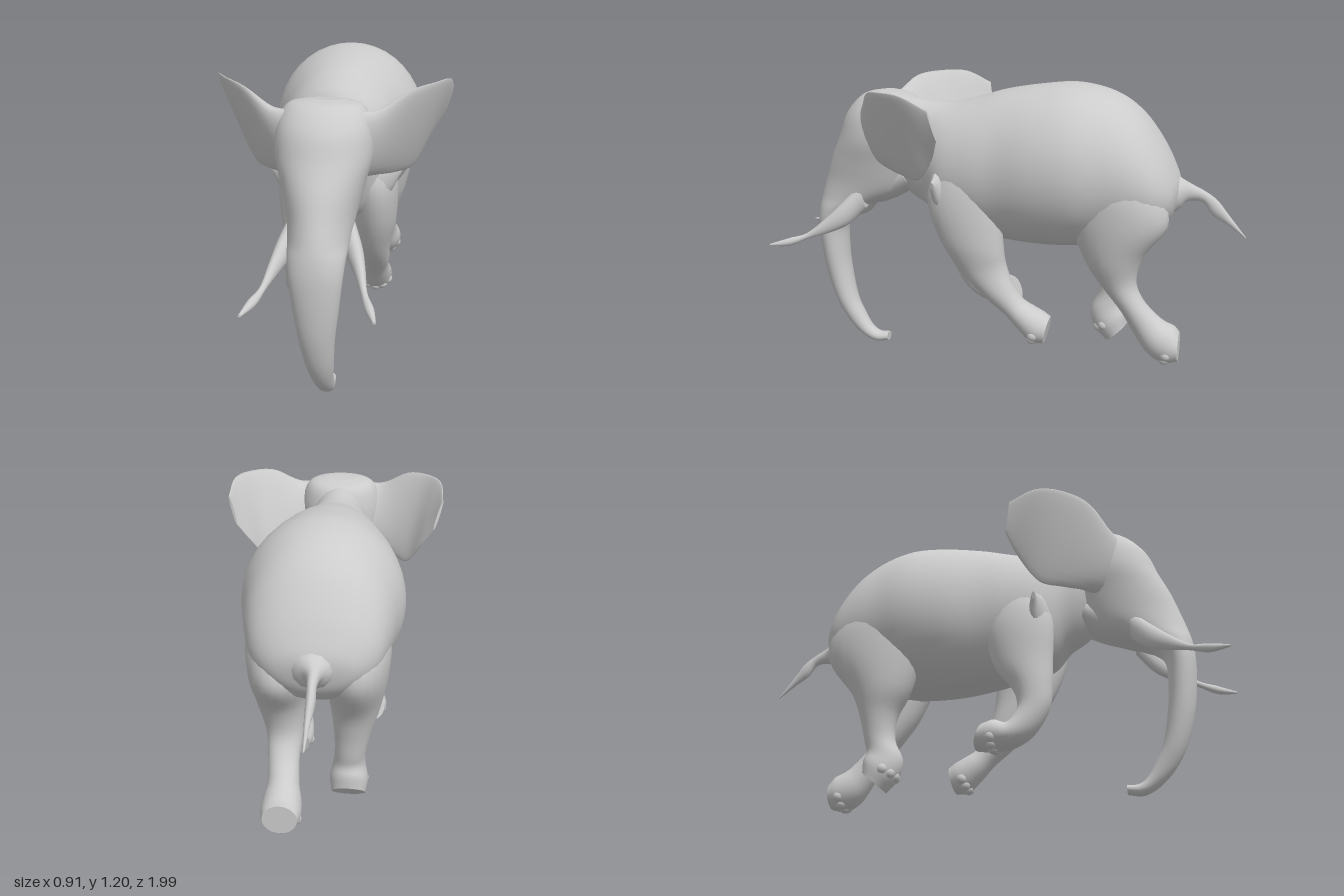
import * as THREE from 'three';

const material = new THREE.MeshStandardMaterial({ color: 0xcccccc });

// Cross-section given by two opposite edge points (a, b) and a half-width vector w
const section = (a, b, w) => ({ a, b, w });

// Cross-section across x: edge points in the y/z plane, half width and centre x
const slice = ([ya, za, yb, zb, half, x = 0]) => section([x, ya, za], [x, yb, zb], [half, 0, 0]);

// Smooth skin through elliptical cross-sections, closed with end caps
function loft(name, sections, sides = 28, steps = 5) {
  const curve = key => new THREE.CatmullRomCurve3(
    sections.map(s => new THREE.Vector3(...s[key])), false, 'catmullrom', 0.5);
  const [ca, cb, cw] = ['a', 'b', 'w'].map(curve);
  const rows = (sections.length - 1) * steps;
  const points = [];
  const index = [];
  for (let i = 0; i <= rows; i++) {
    const a = ca.getPoint(i / rows), b = cb.getPoint(i / rows), w = cw.getPoint(i / rows);
    const mid = a.clone().add(b).multiplyScalar(0.5);
    const axis = a.sub(b).multiplyScalar(0.5);
    for (let j = 0; j < sides; j++) {
      const t = (j / sides) * Math.PI * 2;
      points.push(mid.clone().addScaledVector(axis, Math.cos(t)).addScaledVector(w, Math.sin(t)));
    }
  }
  for (let i = 0; i < rows; i++) {
    for (let j = 0; j < sides; j++) {
      const k = (j + 1) % sides, p = i * sides, q = p + sides;
      index.push(p + j, q + j, p + k, p + k, q + j, q + k);
    }
  }
  // Caps have their own corners so their rims stay sharp
  for (const row of [0, rows]) {
    const rim = points.slice(row * sides, (row + 1) * sides).map(p => p.clone());
    const centre = rim.reduce((s, p) => s.add(p), new THREE.Vector3()).divideScalar(sides);
    const start = points.length;
    points.push(...rim, centre);
    for (let j = 0; j < sides; j++) {
      const k = (j + 1) % sides;
      index.push(start + sides, start + (row ? k : j), start + (row ? j : k));
    }
  }
  // Turn the faces outwards if the enclosed volume is negative
  let volume = 0;
  const cross = new THREE.Vector3();
  for (let i = 0; i < index.length; i += 3) {
    volume += points[index[i]].dot(cross.crossVectors(points[index[i + 1]], points[index[i + 2]]));
  }
  if (volume < 0) index.reverse();
  const geometry = new THREE.BufferGeometry().setFromPoints(points);
  geometry.setIndex(index);
  geometry.computeVertexNormals();
  const mesh = new THREE.Mesh(geometry, material);
  mesh.name = name;
  return mesh;
}

// Row of toenails sunk into the front rim of the sole
function toenails([ya, za, yb, zb, half, x]) {
  const group = new THREE.Group();
  group.name = 'toenails';
  const geometry = new THREE.SphereGeometry(0.024, 12, 10);
  for (let i = -2; i <= 2; i++) {
    const t = i * 0.55, c = Math.cos(t) * 0.4;
    const nail = new THREE.Mesh(geometry, material);
    nail.name = 'toenail';
    nail.position.set(x + half * 0.8 * Math.sin(t), (ya + yb) / 2 + (ya - yb) * c, (za + zb) / 2 + (za - zb) * c);
    group.add(nail);
  }
  return group;
}

// Top and bottom of each slice, from neck to rump
const BODY = [
  [1.12, 0.54, 0.78, 0.50, 0.10], [1.115, 0.42, 0.70, 0.42, 0.13], [1.105, 0.33, 0.65, 0.34, 0.15],
  [1.105, 0.23, 0.58, 0.26, 0.21], [1.13, 0.12, 0.55, 0.12, 0.245], [1.165, 0, 0.53, 0, 0.265],
  [1.19, -0.15, 0.52, -0.15, 0.305], [1.20, -0.30, 0.525, -0.30, 0.32], [1.165, -0.45, 0.54, -0.42, 0.295],
  [1.09, -0.56, 0.565, -0.53, 0.27], [0.97, -0.65, 0.60, -0.62, 0.23], [0.86, -0.705, 0.66, -0.685, 0.155],
  [0.80, -0.725, 0.73, -0.715, 0.05],
];

// Front and back of each slice, from crown to trunk tip
const HEAD = [
  [1.142, 0.56, 1.135, 0.48, 0.07], [1.125, 0.63, 1.11, 0.41, 0.14], [1.05, 0.70, 1.04, 0.38, 0.175],
  [0.95, 0.74, 0.94, 0.37, 0.18], [0.85, 0.785, 0.84, 0.37, 0.155], [0.76, 0.815, 0.73, 0.42, 0.13],
  [0.68, 0.84, 0.67, 0.53, 0.115], [0.62, 0.853, 0.62, 0.67, 0.107], [0.54, 0.858, 0.55, 0.735, 0.098],
  [0.42, 0.85, 0.42, 0.738, 0.083], [0.30, 0.83, 0.31, 0.725, 0.068], [0.18, 0.79, 0.20, 0.70, 0.054, 0.005],
  [0.09, 0.735, 0.13, 0.665, 0.042, 0.01], [0.03, 0.67, 0.075, 0.63, 0.035, 0.015],
  [0.003, 0.61, 0.05, 0.595, 0.03, 0.015], [0.012, 0.55, 0.05, 0.55, 0.026, 0.015],
];

const JAW = [
  [0.86, 0.46, 0.73, 0.40, 0.11], [0.82, 0.55, 0.68, 0.49, 0.10],
  [0.76, 0.63, 0.65, 0.57, 0.07], [0.71, 0.67, 0.66, 0.63, 0.03],
];

const TAIL = [
  [0.86, -0.68, 0.66, -0.67, 0.10], [0.83, -0.72, 0.70, -0.72, 0.07], [0.80, -0.77, 0.73, -0.75, 0.03, -0.01],
  [0.775, -0.82, 0.73, -0.81, 0.018, -0.01], [0.74, -0.87, 0.68, -0.85, 0.018, -0.01],
  [0.68, -0.92, 0.645, -0.91, 0.012, -0.005], [0.595, -0.99, 0.59, -0.99, 0.003],
];

// Front and back of each slice, from hip or shoulder to sole, caught mid-stride
const LEGS = {
  frontLeftLeg: [
    [0.98, 0.20, 0.96, 0.04, 0.06, 0.10], [0.85, 0.27, 0.82, 0, 0.09, 0.135],
    [0.72, 0.305, 0.68, -0.01, 0.095, 0.15], [0.56, 0.26, 0.52, -0.02, 0.085, 0.15],
    [0.41, 0.17, 0.44, -0.03, 0.07, 0.14], [0.31, 0.07, 0.36, -0.06, 0.062, 0.14],
    [0.235, -0.02, 0.30, -0.10, 0.058, 0.135], [0.17, -0.08, 0.27, -0.145, 0.068, 0.13],
    [0.12, -0.135, 0.25, -0.185, 0.072, 0.13], [0.115, -0.19, 0.23, -0.215, 0.06, 0.13],
  ],
  frontRightLeg: [
    [0.98, 0.20, 0.96, 0.06, 0.06, -0.10], [0.85, 0.27, 0.82, 0.02, 0.09, -0.135],
    [0.72, 0.305, 0.70, 0.01, 0.095, -0.15], [0.56, 0.30, 0.54, 0.06, 0.08, -0.15],
    [0.44, 0.295, 0.44, 0.13, 0.07, -0.15], [0.34, 0.28, 0.37, 0.15, 0.065, -0.15],
    [0.24, 0.22, 0.33, 0.14, 0.065, -0.155], [0.19, 0.14, 0.29, 0.11, 0.072, -0.16],
    [0.18, 0.05, 0.305, 0.065, 0.083, -0.16], [0.19, -0.02, 0.295, 0.025, 0.075, -0.16],
  ],
  hindLeftLeg: [
    [1.0, -0.34, 0.96, -0.58, 0.09, 0.12], [0.84, -0.29, 0.80, -0.66, 0.12, 0.15],
    [0.68, -0.29, 0.66, -0.69, 0.125, 0.145], [0.50, -0.36, 0.53, -0.60, 0.10, 0.14],
    [0.39, -0.43, 0.42, -0.57, 0.075, 0.13], [0.29, -0.51, 0.34, -0.60, 0.062, 0.13],
    [0.19, -0.57, 0.275, -0.66, 0.062, 0.125], [0.115, -0.625, 0.25, -0.695, 0.075, 0.125],
    [0.08, -0.69, 0.235, -0.73, 0.078, 0.125], [0.09, -0.75, 0.21, -0.75, 0.068, 0.125],
  ],
  hindRightLeg: [
    [1.0, -0.32, 0.96, -0.58, 0.09, -0.12], [0.84, -0.27, 0.80, -0.66, 0.12, -0.15],
    [0.68, -0.26, 0.66, -0.68, 0.125, -0.145], [0.50, -0.31, 0.50, -0.57, 0.10, -0.14],
    [0.39, -0.37, 0.39, -0.53, 0.075, -0.13], [0.29, -0.38, 0.29, -0.51, 0.062, -0.12],
    [0.20, -0.345, 0.24, -0.50, 0.066, -0.115], [0.12, -0.365, 0.20, -0.51, 0.077, -0.115],
    [0.065, -0.415, 0.15, -0.51, 0.068, -0.115],
  ],
};

// Top edge, bottom edge and thickness, from root to outer rim
const EAR = [
  [[0.09, 1.11, 0.57], [0.12, 0.84, 0.50], [0.02, 0, 0.07]],
  [[0.19, 1.11, 0.55], [0.18, 0.835, 0.45], [0.015, 0, 0.05]],
  [[0.30, 1.17, 0.50], [0.25, 0.825, 0.37], [0.015, 0, 0.022]],
  [[0.39, 1.185, 0.415], [0.31, 0.83, 0.285], [0.012, 0, 0.01]],
  [[0.445, 1.18, 0.31], [0.365, 0.92, 0.215], [0.01, 0, 0.005]],
  [[0.455, 1.13, 0.20], [0.42, 1.01, 0.175], [0.006, 0, 0.002]],
];

// Lip socket and tusk: top, bottom, half width and offset from the middle
const TUSK = [
  [0.76, 0.62, 0.64, 0.61, 0.04, 0.08], [0.67, 0.70, 0.57, 0.68, 0.034, 0.125], [0.60, 0.77, 0.535, 0.76, 0.022, 0.155],
  [0.535, 0.85, 0.51, 0.845, 0.012, 0.18], [0.515, 0.92, 0.48, 0.92, 0.017, 0.205], [0.49, 1.0, 0.48, 1.0, 0.006, 0.23],
];

// Thin skin fold standing out in front of the shoulder
const FOLD = [
  [[0.14, 0.86, 0.26], [0.16, 0.64, 0.25], [0, 0, 0.05]],
  [[0.22, 0.83, 0.25], [0.22, 0.70, 0.24], [0, 0, 0.025]],
  [[0.27, 0.81, 0.25], [0.26, 0.78, 0.25], [0, 0, 0.008]],
];

export function createModel() {
  const model = new THREE.Group();
  model.name = 'elephant';
  model.add(
    loft('body', BODY.map(slice), 40),
    loft('headAndTrunk', HEAD.map(slice), 36),
    loft('lowerJaw', JAW.map(slice)),
    loft('tail', TAIL.map(slice), 12),
  );
  for (const [name, rings] of Object.entries(LEGS)) {
    model.add(loft(name, rings.map(slice), 24), toenails(rings.at(-2)));
  }

  // Paired parts, mirrored across x
  for (const [side, sign] of [['left', 1], ['right', -1]]) {
    const mirror = ([x, y, z]) => [sign * x, y, z];
    const paired = rings => rings.map(ring => section(...ring.map(mirror)));
    model.add(
      loft(side + 'Ear', paired(EAR), 24),
      loft(side + 'ShoulderFold', paired(FOLD), 12),
      loft(side + 'Tusk', TUSK.map(r => slice([...r.slice(0, 5), sign * r[5]])), 14),
    );
  }
  return model;
}
